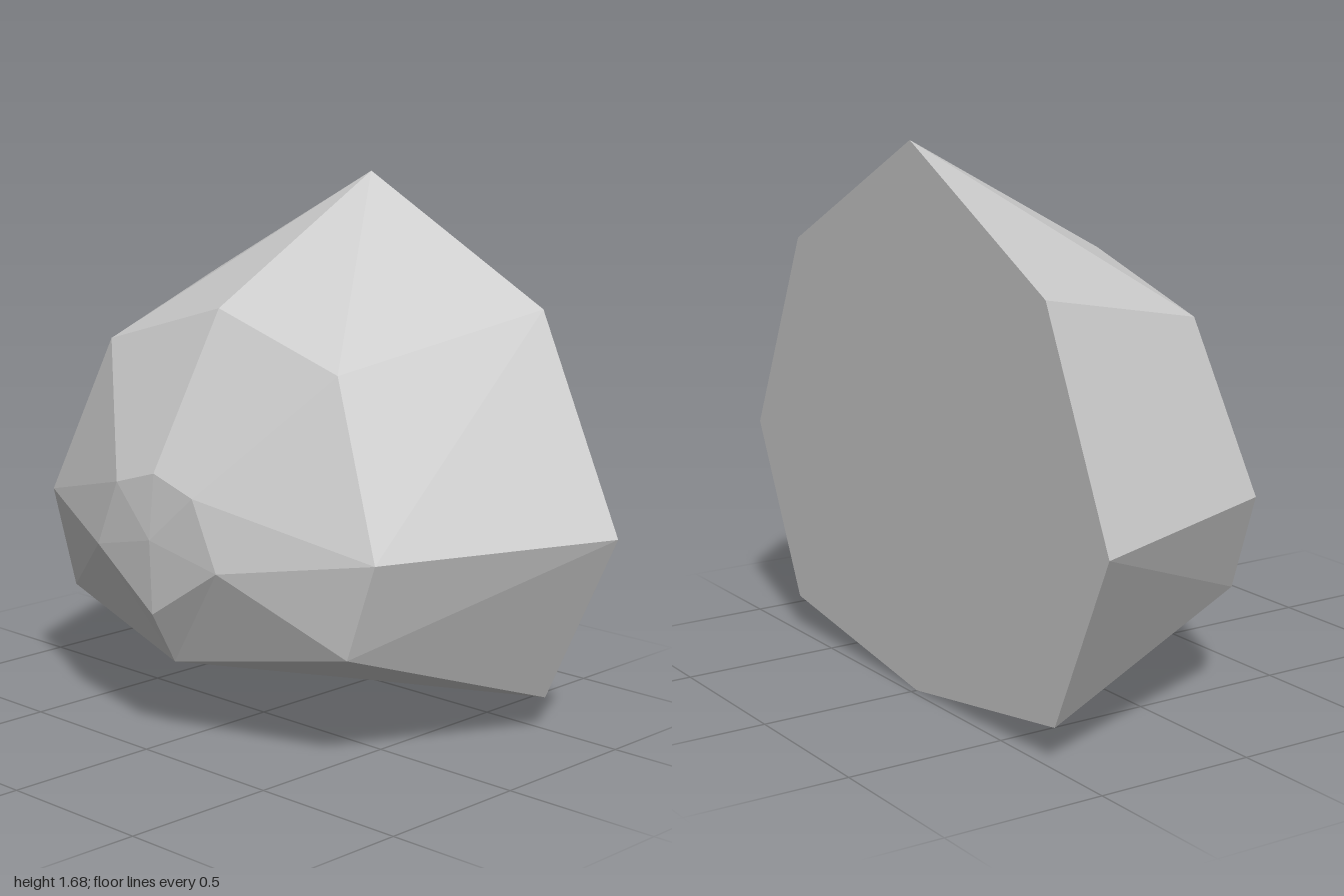
import * as THREE from 'three';

// Right half of each ring of corners, listed from top to bottom
const RINGS = {
  centre: [[0, 0.645, 0.48]],
  inner: [[0, 0.845, 0.46], [0.165, 0.795, 0.46], [0.26, 0.585, 0.455], [0, 0.415, 0.47]],
  middle: [[0, 1.31, 0.19], [0.49, 1.165, 0.19], [0.705, 0.655, 0.26], [0.6, 0.355, 0.26], [0, 0.25, 0.38]],
  outer: [[0, 1.68, -0.48], [0.7, 1.31, -0.48], [1, 0.655, -0.48], [0.745, 0.11, -0.48], [0, 0, -0.48]],
};

// Facets per band: c = centre, i = inner, m = middle, o = outer, with the corner number
const FRONT_CAP = 'i0 c0 i1, i1 c0 i2, i2 c0 i3';
const SHOULDER = 'm0 i0 i1, m0 i1 m1, m1 i1 m2, i1 i2 m2, m2 i2 m3, m3 i2 m4, m4 i2 i3';
const SIDES = 'o0 m0 m1, o0 m1 o1, o1 m1 m2, o1 m2 o2, o2 m2 m3, o2 m3 o3, o3 m3 o4, o4 m3 m4';
const BACK = 'o0 o1 o2, o0 o2 o3, o0 o3 o4';

const ringOf = { c: RINGS.centre, i: RINGS.inner, m: RINGS.middle, o: RINGS.outer };

// Builds the facets of a band and their mirror images
function facetGeometry(band) {
  const positions = [];
  for (const facet of band.split(', ')) {
    const corners = facet.split(' ').map((k) => ringOf[k[0]][Number(k[1])]);
    for (const p of corners) positions.push(...p);
    for (const [x, y, z] of [...corners].reverse()) positions.push(-x, y, z);
  }
  const geometry = new THREE.BufferGeometry();
  geometry.setAttribute('position', new THREE.Float32BufferAttribute(positions, 3));
  geometry.computeVertexNormals();
  return geometry;
}

export function createModel() {
  const group = new THREE.Group();
  group.name = 'facetedRock';
  const stone = new THREE.MeshStandardMaterial({ color: 0xcccccc, flatShading: true });
  stone.name = 'lightGreyStone';

  const parts = { frontCap: FRONT_CAP, shoulder: SHOULDER, sides: SIDES, flatBack: BACK };
  for (const [name, band] of Object.entries(parts)) {
    const mesh = new THREE.Mesh(facetGeometry(band), stone);
    mesh.name = name;
    group.add(mesh);
  }
  return group;
}
